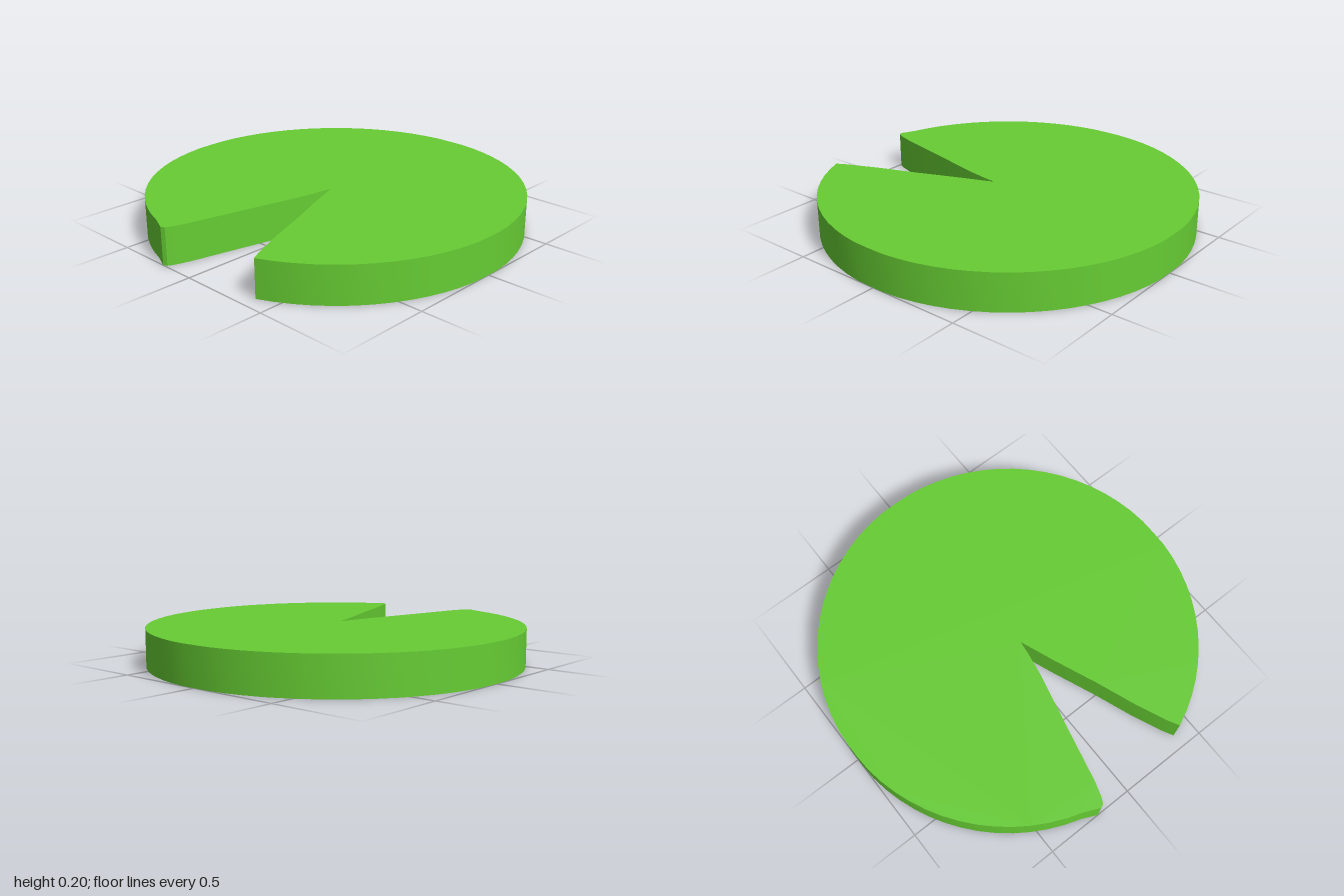
import * as THREE from 'three';
import { toCreasedNormals } from 'three/addons/utils/BufferGeometryUtils.js';

const BOTTOM = 0.006, TOP = 0.208;

export function createModel() {
  const model = new THREE.Group();
  model.name = 'lilyPad';
  const leafGreen = new THREE.MeshStandardMaterial({ color: 0x66cc33 });
  leafGreen.name = 'leafGreen';

  // Outline drawn as (x, z): notch from its right tip to the centre and back out
  const notch = [
    [0.355, 0.87], [0.28, 0.7], [0.2, 0.49], [0.15, 0.37], [0.1, 0.25], [0.05, 0.12], [0.03, 0.07],
    [0.02, 0.15], [0, 0.27], [-0.07, 0.57], [-0.14, 0.88], [-0.165, 0.96], [-0.18, 0.99], [-0.2, 1.0],
  ];
  const outline = notch.map(([x, z]) => new THREE.Vector2(x, -z));

  // Round rim, clockwise from the left notch tip around the back to the right tip
  const start = Math.atan2(1.0, -0.2), end = Math.atan2(0.925, 0.385) + Math.PI * 2;
  const steps = 64;
  for (let i = 1; i <= steps; i++) {
    const a = start + (end - start) * i / steps;
    const r = 1.003;
    const x = THREE.MathUtils.clamp(r * Math.cos(a), -1, 1);
    const z = Math.max(r * Math.sin(a), -1);
    outline.push(new THREE.Vector2(x, -z));
  }

  // Thick flat leaf
  const slab = new THREE.ExtrudeGeometry(new THREE.Shape(outline), {
    depth: TOP - BOTTOM, bevelEnabled: false,
  });
  slab.rotateX(-Math.PI / 2);
  slab.translate(0, BOTTOM, 0);

  const leaf = new THREE.Mesh(toCreasedNormals(slab, 0.6), leafGreen);
  leaf.name = 'leaf';
  model.add(leaf);
  return model;
}
